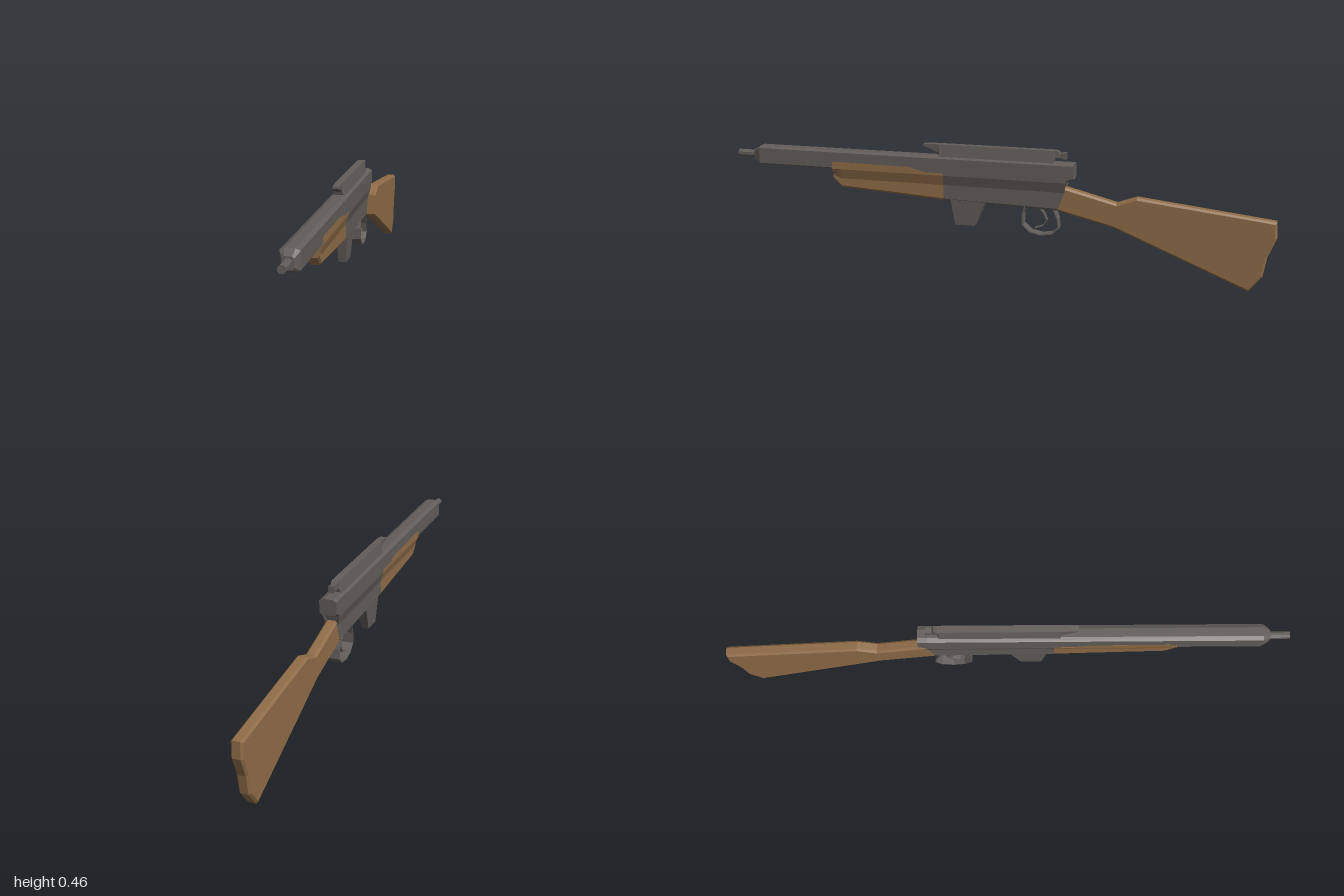
import * as THREE from 'three';

const metal = new THREE.MeshStandardMaterial({ color: 0x625d5a, flatShading: true });
metal.name = 'gunmetal';
const wood = new THREE.MeshStandardMaterial({ color: 0x8f6c48, flatShading: true });
wood.name = 'walnut';

// Skin cross-sections, listed front to back. Each is { z, half: [[x, y], ...] } with the
// half outline running top to bottom on +x; z may be a function of y for slanted ends.
function loft(sections) {
  const rings = sections.map(({ z, half }) => {
    const zAt = typeof z === 'function' ? z : () => z;
    const outline = [...half, ...half.map(([x, y]) => [-x, y]).reverse()];
    return outline.map(([x, y]) => new THREE.Vector3(x, y, zAt(y)));
  });
  const pos = [];
  const tri = (...pts) => pts.forEach((p) => pos.push(p.x, p.y, p.z));
  const n = rings[0].length;
  for (let r = 0; r < rings.length - 1; r++) {
    for (let i = 0; i < n; i++) {
      const j = (i + 1) % n;
      const [a, b, c, d] = [rings[r][i], rings[r][j], rings[r + 1][j], rings[r + 1][i]];
      tri(a, b, d);
      tri(b, c, d);
    }
  }
  const cap = (ring, front) => {
    const mid = ring.reduce((s, p) => s.add(p), new THREE.Vector3()).divideScalar(n);
    for (let i = 0; i < n; i++) {
      const j = (i + 1) % n;
      if (front) tri(mid, ring[j], ring[i]);
      else tri(mid, ring[i], ring[j]);
    }
  };
  cap(rings[0], true);
  cap(rings[rings.length - 1], false);
  const geo = new THREE.BufferGeometry();
  geo.setAttribute('position', new THREE.Float32BufferAttribute(pos, 3));
  geo.computeVertexNormals();
  return geo;
}

// Extrude a side outline of [z, y] points to a given width, centred on x = 0
function sidePlate(points, width, bevel = 0) {
  const shape = new THREE.Shape(points.map(([z, y]) => new THREE.Vector2(z, y)));
  const geo = new THREE.ExtrudeGeometry(shape, {
    depth: width - 2 * bevel, bevelEnabled: bevel > 0, bevelSegments: 1,
    bevelThickness: bevel, bevelSize: bevel, bevelOffset: -bevel,
  });
  geo.translate(0, 0, -(width - 2 * bevel) / 2);
  return geo.rotateY(-Math.PI / 2);
}

// Thin bent strip following a side path
function strip(path, width, thickness) {
  const pts = path.map(([z, y]) => new THREE.Vector2(z, y));
  const offset = (s) => pts.map((p, i) => {
    const t = pts[Math.min(i + 1, pts.length - 1)].clone().sub(pts[Math.max(i - 1, 0)]).normalize();
    return [p.x - t.y * s, p.y + t.x * s];
  });
  return sidePlate([...offset(thickness / 2), ...offset(-thickness / 2).reverse()], width);
}

export function createModel() {
  const model = new THREE.Group();
  model.name = 'rifle';
  const add = (name, geo, mat) => {
    const mesh = new THREE.Mesh(geo, mat);
    mesh.name = name;
    model.add(mesh);
    return mesh;
  };

  // Long chamfered barrel housing with a tapered nose and a stepped rear
  const housing = (bottom) => [[0.016, 0.419], [0.031, 0.412], [0.031, bottom + 0.007], [0.024, bottom]];
  add('barrelHousing', loft([
    { z: 0.93, half: [[0.011, 0.402], [0.018, 0.396], [0.018, 0.369], [0.012, 0.361]] },
    { z: 0.903, half: housing(0.348) },
    { z: -0.262, half: housing(0.348) },
    { z: -0.297, half: housing(0.362) },
  ]), metal);

  // Muzzle
  const muzzle = add('muzzle', new THREE.CylinderGeometry(0.0135, 0.0135, 0.09, 8), metal);
  muzzle.geometry.rotateY(Math.PI / 8);
  muzzle.geometry.rotateX(Math.PI / 2);
  muzzle.position.set(0, 0.384, 0.955);

  // Lower body section: wide at the top, narrow and chamfered at the bottom
  const body = (top, bottom, x = 0.0315, low = 0.02) => [
    [x, top], [x, 0.35], [low, Math.max(0.313, bottom + 0.016)],
    [low, bottom + 0.008], [low - 0.006, bottom],
  ];

  // Wooden fore-end
  add('foreEnd', loft([
    { z: 0.61, half: body(0.375, 0.309) },
    { z: 0.578, half: body(0.377, 0.278) },
    { z: 0.31, half: body(0.375, 0.263) },
    { z: 0.25, half: body(0.359, 0.259) },
    { z: 0.18, half: body(0.359, 0.255) },
  ]), wood);

  // Receiver with a slanted rear face
  add('receiver', loft([
    { z: 0.182, half: body(0.36, 0.254, 0.031) },
    { z: (y) => -0.24 - Math.min(y - 0.245, 0.09) * 0.36, half: body(0.36, 0.245, 0.031, 0.0205) },
  ]), metal);

  // Tapered magazine
  const mag = new THREE.BoxGeometry(1, 1, 1);
  const p = mag.attributes.position;
  for (let i = 0; i < p.count; i++) {
    const low = p.getY(i) < 0;
    const front = p.getZ(i) > 0;
    const x = Math.sign(p.getX(i)) * (low ? 0.014 : 0.019);
    p.setXYZ(i, x, low ? 0.165 : 0.262, front ? (low ? 0.14 : 0.157) : (low ? 0.065 : 0.024));
  }
  mag.computeVertexNormals();
  add('magazine', mag, metal);

  // Trigger guard and trigger
  add('triggerGuard', strip([
    [-0.122, 0.255], [-0.113, 0.225], [-0.113, 0.185], [-0.14, 0.16], [-0.18, 0.151],
    [-0.222, 0.158], [-0.245, 0.18], [-0.24, 0.215], [-0.225, 0.25],
  ], 0.04, 0.004), metal);
  add('trigger', strip([
    [-0.165, 0.255], [-0.188, 0.232], [-0.2, 0.205], [-0.185, 0.182], [-0.157, 0.173],
  ], 0.018, 0.004), metal);

  // Sight rail: pointed overhang in front, small raised tail behind
  const rail = (top, bottom, xTop, xBottom) => [[xTop, top], [xBottom, bottom]];
  add('sightRail', loft([
    { z: 0.26, half: rail(0.459, 0.452, 0.01, 0.01) },
    { z: 0.235, half: rail(0.461, 0.445, 0.012, 0.012) },
    { z: 0.202, half: rail(0.461, 0.43, 0.013, 0.012) },
    { z: 0.198, half: rail(0.461, 0.415, 0.013, 0.02) },
    { z: -0.222, half: rail(0.461, 0.415, 0.013, 0.02) },
    { z: -0.226, half: rail(0.461, 0.434, 0.013, 0.012) },
    { z: -0.24, half: rail(0.459, 0.437, 0.011, 0.011) },
    { z: -0.245, half: rail(0.452, 0.436, 0.01, 0.01) },
    { z: -0.268, half: rail(0.455, 0.43, 0.01, 0.01) },
  ]), metal);

  // Bevelled shoulder stock
  add('stock', sidePlate([
    [-0.23, 0.338], [-0.27, 0.33], [-0.45, 0.285], [-0.52, 0.31], [-0.997, 0.257], [-1, 0.2],
    [-0.972, 0.13], [-0.96, 0.06], [-0.915, 0.003], [-0.44, 0.197], [-0.23, 0.247],
  ], 0.04, 0.007), wood);

  return model;
}
